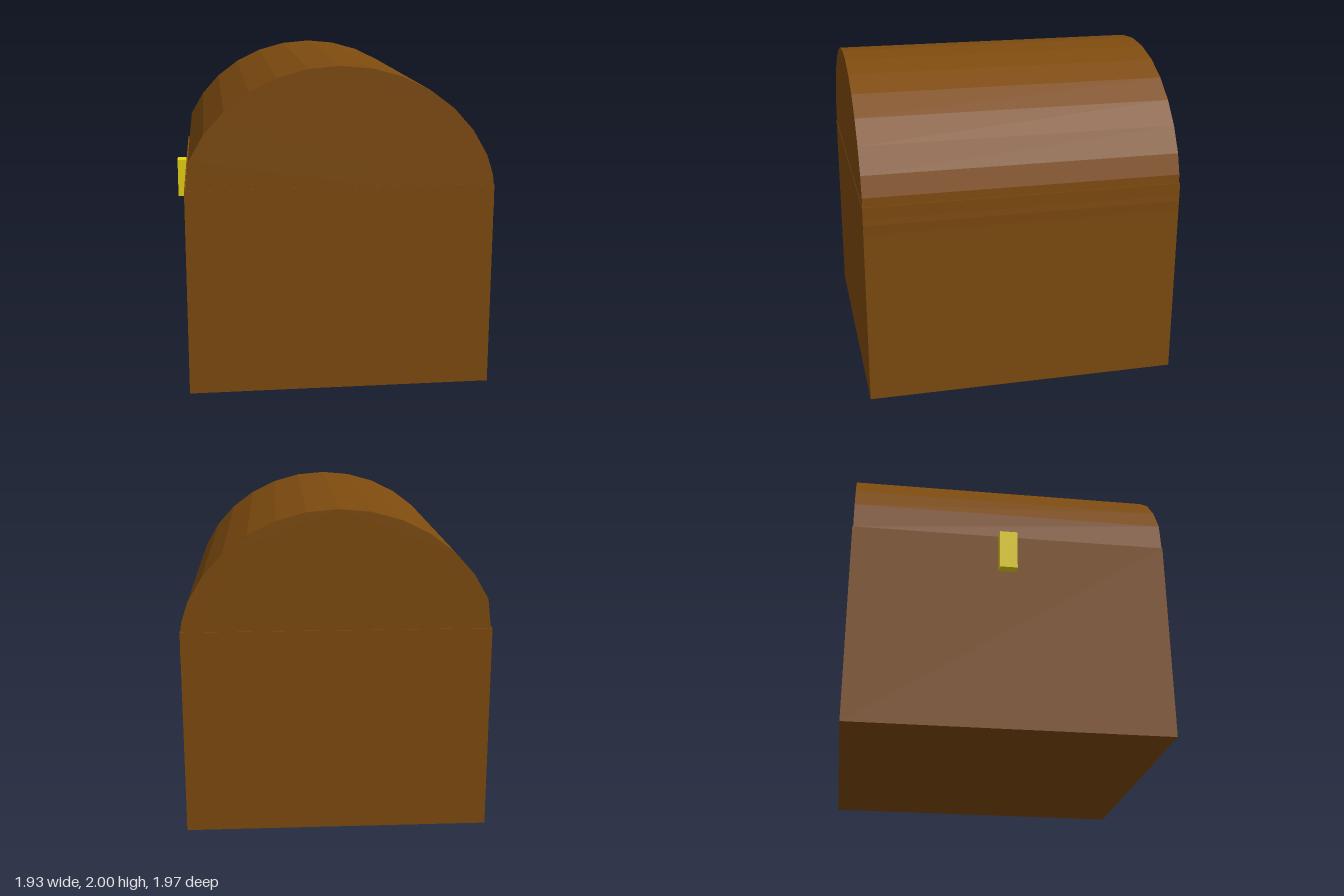
import * as THREE from 'three';

const wood = new THREE.MeshStandardMaterial({ color: 0x7e4b0f, flatShading: true });
const brass = new THREE.MeshStandardMaterial({ color: 0xe6d20f, flatShading: true });

// Box given by its minimum and maximum corners
function boxBetween(name, material, min, max) {
  const size = max.map((v, i) => v - min[i]);
  const mesh = new THREE.Mesh(new THREE.BoxGeometry(...size), material);
  mesh.position.set(...max.map((v, i) => (v + min[i]) / 2));
  mesh.name = name;
  return mesh;
}

export function createModel() {
  const chest = new THREE.Group();
  chest.name = 'chest';

  // Square body
  chest.add(boxBetween('body', wood, [-0.91, 0, -0.985], [0.96, 1.275, 0.985]));

  // Barrel lid: faceted elliptical arch whose lower edge sinks into the body
  const profile = [[-0.9, 1.0], [0.955, 1.0], [0.963, 1.16], [0.95, 1.33]];
  const step = Math.PI / 16;
  for (let i = 6; i >= -6; i--) {
    profile.push([0.015 + 0.968 * Math.sin(i * step), 1.117 + 0.883 * Math.cos(i * step)]);
  }
  profile.push([-0.9, 1.28]);
  const arch = new THREE.Shape(profile.map(([x, y]) => new THREE.Vector2(x, y)));
  const lid = new THREE.Mesh(
    new THREE.ExtrudeGeometry(arch, { depth: 1.963, bevelEnabled: false }), wood);
  lid.position.z = -0.98;
  lid.name = 'lid';
  chest.add(lid);

  // Latch on the side wall
  chest.add(boxBetween('latch', brass, [-0.97, 1.03, -0.075], [-0.91, 1.28, 0.035]));

  return chest;
}
